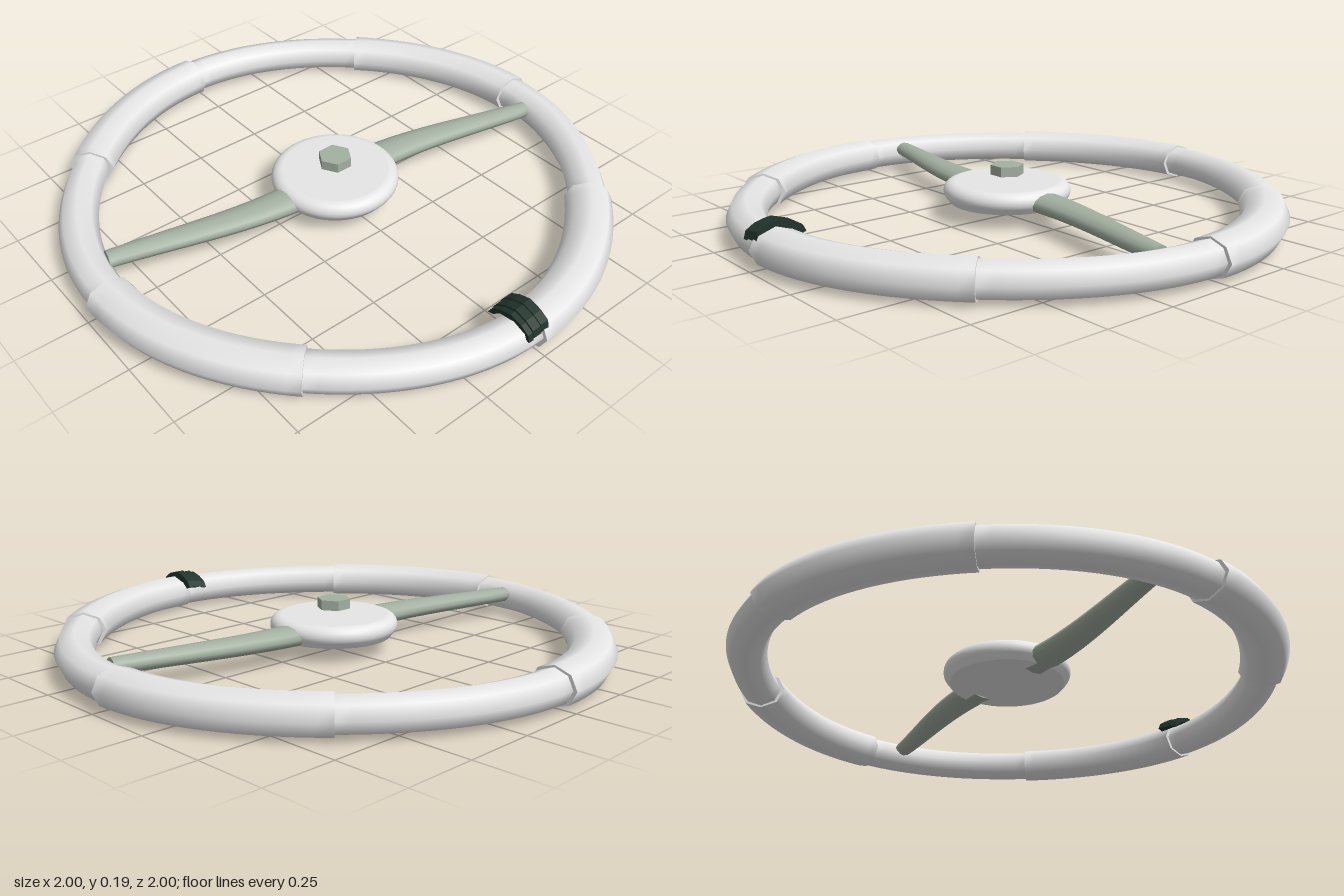
import * as THREE from 'three';

const mat = (name, color) => {
  const m = new THREE.MeshStandardMaterial({ color });
  m.name = name;
  return m;
};

// Loft through closed rings of points, with flat end caps
function loft(rings) {
  const pos = [], idx = [], n = rings[0].length;
  rings.forEach(r => r.forEach(p => pos.push(p.x, p.y, p.z)));
  for (let i = 0; i < rings.length - 1; i++) {
    for (let j = 0; j < n; j++) {
      const a = i * n + j, b = i * n + (j + 1) % n;
      idx.push(a, b, a + n, b, b + n, a + n);
    }
  }
  [rings[0], rings[rings.length - 1]].forEach((r, end) => {
    const base = pos.length / 3;
    r.forEach(p => pos.push(p.x, p.y, p.z));
    for (let j = 1; j < n - 1; j++) {
      if (end) idx.push(base, base + j, base + j + 1);
      else idx.push(base, base + j + 1, base + j);
    }
  });
  const g = new THREE.BufferGeometry();
  g.setAttribute('position', new THREE.Float32BufferAttribute(pos, 3));
  g.setIndex(idx);
  g.computeVertexNormals();
  return g;
}

// One eighth of the rim; its radius shrinks slightly at the diagonals
function rimSegment(k, halfWidth, halfHeight) {
  const rings = [], steps = 16, sides = 8;
  for (let i = 0; i <= steps; i++) {
    const t = (k + i / steps) * Math.PI / 4;
    const r = 0.905 + 0.012 * Math.cos(4 * t);
    const ring = [];
    for (let j = 0; j < sides; j++) {
      const a = j / sides * Math.PI * 2;
      const d = r + halfWidth * Math.cos(a);
      ring.push(new THREE.Vector3(d * Math.cos(t), 0.066 + halfHeight * Math.sin(a), d * Math.sin(t)));
    }
    rings.push(ring);
  }
  return loft(rings);
}

// Curved spoke, leaving the hub straight and tapering towards the rim
function spokeGeometry() {
  const rings = [], steps = 20, sides = 12;
  for (let i = 0; i <= steps; i++) {
    const t = i / steps;
    const x = 0.14 + 0.705 * t, z = 0.132 * t * t * (1.9 - 0.9 * t);
    const w = 0.068 - 0.034 * t, h = 0.036 - 0.008 * t;
    const slope = Math.atan(0.132 * t * (3.8 - 2.7 * t) / 0.705);
    const ring = [];
    for (let j = 0; j < sides; j++) {
      const a = -j / sides * Math.PI * 2, q = w * Math.cos(a);
      ring.push(new THREE.Vector3(x - q * Math.sin(slope), 0.085 + h * Math.sin(a), z + q * Math.cos(slope)));
    }
    rings.push(ring);
  }
  return loft(rings);
}

// Arched strap lying over the rim, extruded along x
function strapGeometry(x0, x1, lift) {
  const outer = [[0.982, 0.09], [0.975, 0.115], [0.945, 0.134], [0.9, 0.146], [0.86, 0.134], [0.828, 0.115], [0.815, 0.092]];
  const inner = [[0.835, 0.092], [0.86, 0.115], [0.917, 0.124], [0.96, 0.105], [0.97, 0.09]];
  const s = new THREE.Shape([
    ...outer.map(([z, y]) => new THREE.Vector2(-z, y + lift)),
    ...inner.map(([z, y]) => new THREE.Vector2(-z, y)),
  ]);
  const g = new THREE.ExtrudeGeometry(s, { depth: x1 - x0, bevelEnabled: false });
  g.rotateY(Math.PI / 2); // shape x becomes -z, depth runs along x
  g.translate(x0, 0, 0);
  return g;
}

export function createModel() {
  const model = new THREE.Group();
  model.name = 'steeringWheel';
  const grey = mat('light grey', 0xe6e6e6);
  const sage = mat('sage green', 0xa3b0a1);
  const dark = mat('dark green', 0x20332b);
  const add = (name, geometry, material, parent = model) => {
    const m = new THREE.Mesh(geometry, material);
    m.name = name;
    parent.add(m);
    return m;
  };

  // Rim: alternating thin and thick sections
  const rim = new THREE.Group();
  rim.name = 'rim';
  model.add(rim);
  for (let k = 0; k < 8; k++) {
    const thick = k % 2 === 1;
    add(thick ? 'thickRimSection' : 'thinRimSection',
      rimSegment(k, thick ? 0.082 : 0.068, thick ? 0.066 : 0.059), grey, rim);
  }

  // Hub: rounded disc with a flat top and underside
  const profile = [new THREE.Vector2(0.203, 0.054)];
  for (let i = 0; i <= 8; i++) {
    const a = -0.6 + (Math.PI / 2 + 0.6) * i / 8;
    profile.push(new THREE.Vector2(0.19 + 0.037 * Math.cos(a), 0.095 + 0.035 * Math.sin(a)));
  }
  add('hub', new THREE.LatheGeometry(profile, 48), grey);
  const top = add('hubTop', new THREE.CircleGeometry(0.19, 48), grey);
  top.rotation.x = -Math.PI / 2;
  top.position.y = 0.13;
  const base = add('hubBase', new THREE.CircleGeometry(0.203, 48), grey);
  base.rotation.x = Math.PI / 2;
  base.position.y = 0.054;

  // Hexagonal bolt above the hub
  const bolt = add('bolt', new THREE.CylinderGeometry(0.06, 0.06, 0.035, 6).toNonIndexed(), sage);
  bolt.geometry.computeVertexNormals();
  bolt.rotation.y = Math.PI / 6;
  bolt.position.y = 0.168;

  // Two spokes, half a turn apart
  for (let i = 0; i < 2; i++) add('spoke', spokeGeometry(), sage).rotation.y = i * Math.PI;

  // Marker strap at the front of the rim
  add('strapLeftBand', strapGeometry(-0.065, -0.045, -0.004), dark);
  add('strapRidge', strapGeometry(-0.045, -0.012, 0.003), dark);
  add('strapRightBand', strapGeometry(-0.012, 0.02, 0.008), dark);

  return model;
}
